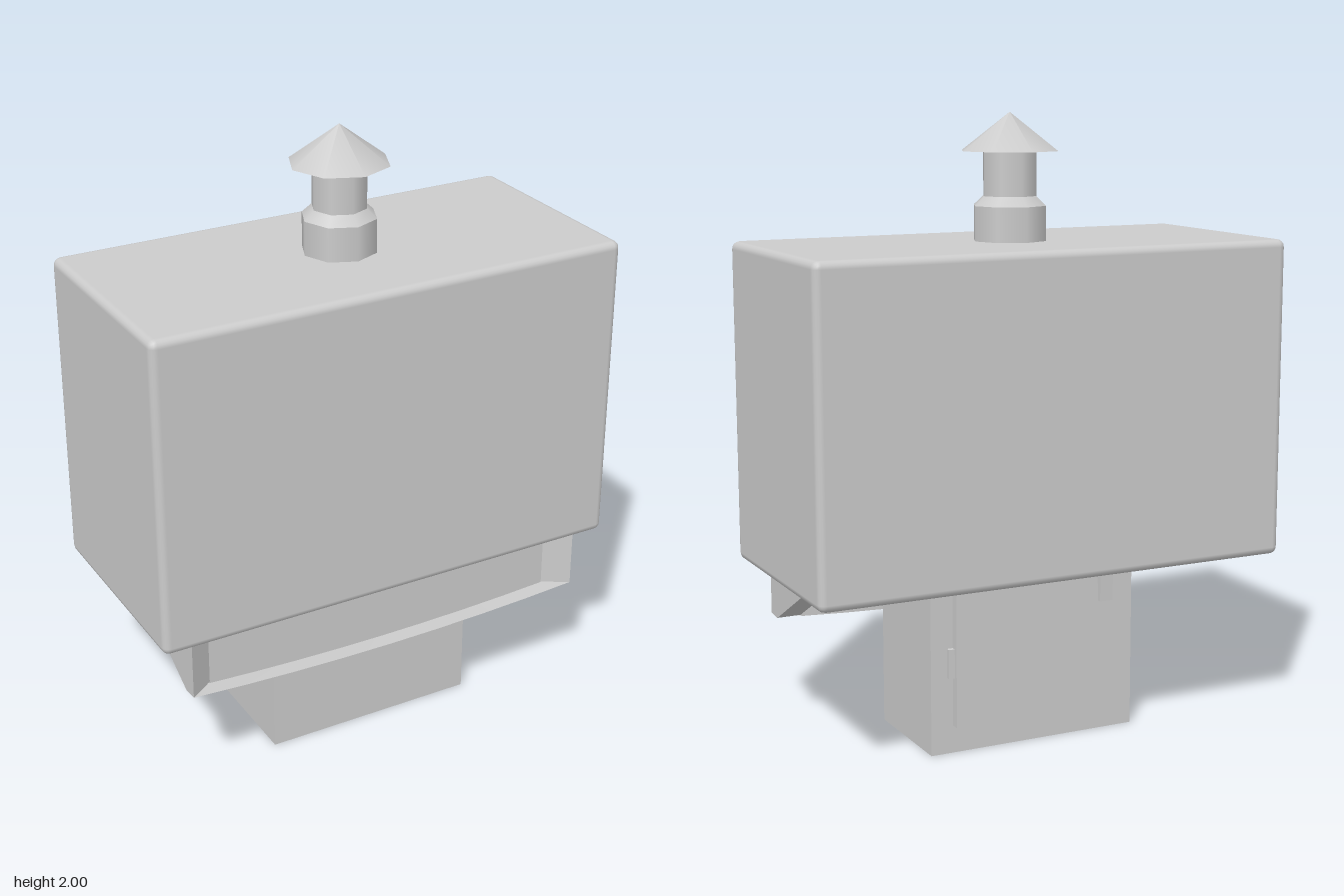
import * as THREE from 'three';
import { RoundedBoxGeometry } from 'three/addons/geometries/RoundedBoxGeometry.js';

export function createModel() {
  const group = new THREE.Group();
  const grey = new THREE.MeshStandardMaterial({ color: 0xcccccc });
  const thin = new THREE.MeshStandardMaterial({ color: 0xcccccc, side: THREE.DoubleSide });

  const add = (name, geometry, x = 0, y = 0, z = 0, material = grey) => {
    const mesh = new THREE.Mesh(geometry, material);
    mesh.name = name;
    mesh.position.set(x, y, z);
    group.add(mesh);
    return mesh;
  };
  // Box given by its lower and upper limits on each axis
  const block = (name, [x0, x1], [y0, y1], [z0, z1]) =>
    add(name, new THREE.BoxGeometry(x1 - x0, y1 - y0, z1 - z0),
      (x0 + x1) / 2, (y0 + y1) / 2, (z0 + z1) / 2);
  // Eight-sided chimney section between two heights
  const section = (name, rTop, rBottom, y0, y1) =>
    add(name, new THREE.CylinderGeometry(rTop, rBottom, y1 - y0, 8), 0, (y0 + y1) / 2, 0);

  // Main housing with softened edges
  add('housing', new RoundedBoxGeometry(1.6, 1.03, 0.74, 2, 0.025), 0, 1.085, 0);

  // Chimney
  section('chimneyBase', 0.12, 0.12, 1.59, 1.71);
  section('chimneyShoulder', 0.088, 0.12, 1.71, 1.74);
  section('chimneyNeck', 0.088, 0.088, 1.74, 1.885);
  section('chimneyCap', 0, 0.16, 1.88, 2);

  // Pedestal with a door, hinge and latch on the back
  block('pedestal', [-0.36, 0.36], [0, 0.59], [-0.17, 0.215]);
  block('door', [-0.28, 0.285], [0.09, 0.59], [-0.2, -0.165]);
  block('hinge', [0.28, 0.305], [0.25, 0.345], [-0.186, -0.165]);
  const latch = block('latch', [-0.235, -0.19], [0.46, 0.59], [-0.27, -0.245]);
  const lp = latch.geometry.attributes.position;
  for (let i = 0; i < lp.count; i++) if (lp.getY(i) < 0) lp.setZ(i, lp.getZ(i) * 0.5 - 0.002);
  latch.geometry.computeVertexNormals();

  // Sagging lower edge of the front tray
  const sag = (x) => 0.355 + 0.025 * (x / 0.7) ** 2;

  // Side brackets: sloped underneath, front face flared outwards
  const profile = new THREE.Shape([
    [0.345, 0.59], [-0.13, 0.59], [-0.1, 0.57], [0, 0.535], [0.29, 0.376], [0.345, 0.38],
  ].map(([z, y]) => new THREE.Vector2(z, y)));
  for (const side of [1, -1]) {
    const g = new THREE.ExtrudeGeometry(profile, { depth: 0.08, bevelEnabled: false });
    g.rotateY(-Math.PI / 2).translate(side > 0 ? 0.7 : -0.62, 0, 0);
    const p = g.attributes.position;
    for (let i = 0; i < p.count; i++) {
      if (Math.abs(p.getX(i)) < 0.66 && p.getZ(i) > 0.29) p.setZ(i, 0.29);
    }
    g.computeVertexNormals();
    add(side > 0 ? 'leftBracket' : 'rightBracket', g);
  }

  // Recessed front panel with the sagging lower edge
  const outline = [new THREE.Vector2(0.62, 0.59), new THREE.Vector2(-0.62, 0.59)];
  for (let i = 0; i <= 8; i++) {
    const x = -0.62 + 1.24 * i / 8;
    outline.push(new THREE.Vector2(x, sag(x)));
  }
  add('frontPanel', new THREE.ExtrudeGeometry(new THREE.Shape(outline),
    { depth: 0.01, bevelEnabled: false }), 0, 0, 0.28);

  // Thin ledge joining the panel to the flared front edge
  const ledge = new THREE.PlaneGeometry(2, 1, 8, 1).rotateX(-Math.PI / 2);
  const q = ledge.attributes.position;
  for (let i = 0; i < q.count; i++) {
    const front = q.getZ(i) > 0;
    const x = q.getX(i) * (front ? 0.7 : 0.62);
    q.setXYZ(i, x, sag(x), front ? 0.345 : 0.285);
  }
  ledge.computeVertexNormals();
  add('ledge', ledge, 0, 0, 0, thin);

  return group;
}
